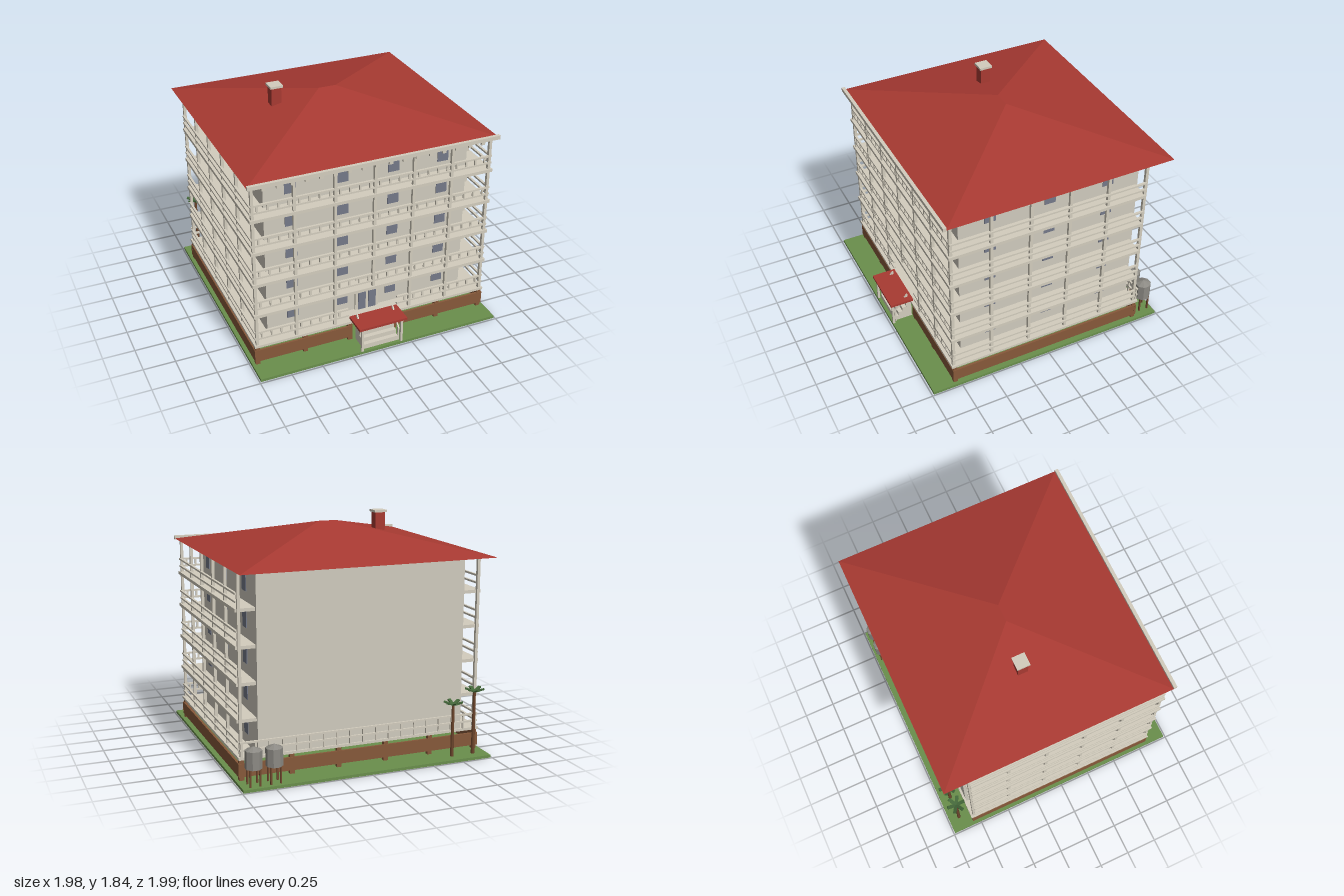
import * as THREE from 'three';

const mat = (name, color) => {
  const m = new THREE.MeshStandardMaterial({ color });
  m.name = name;
  return m;
};

export function createModel() {
  const wall = mat('wall cream', 0xd0cbbe);
  const trim = mat('trim cream', 0xd3cdbe);
  const red = mat('roof red', 0xa83a32);
  const green = mat('grass green', 0x6a8f4c);
  const brown = mat('skirt brown', 0x87593a);
  const glass = mat('window blue grey', 0x747989);
  const metal = mat('tank grey', 0x8c8a84);
  const bark = mat('trunk brown', 0x70482e);
  const leaf = mat('palm green', 0x44683a);

  const root = new THREE.Group();
  const group = (name, parent = root) => {
    const g = new THREE.Group();
    g.name = name;
    parent.add(g);
    return g;
  };
  const add = (parent, name, geo, m, x = 0, y = 0, z = 0) => {
    const mesh = new THREE.Mesh(geo, m);
    mesh.name = name;
    mesh.position.set(x, y, z);
    parent.add(mesh);
    return mesh;
  };
  // Box given by its extents on each axis
  const block = (parent, name, m, [x0, x1], [y0, y1], [z0, z1]) =>
    add(parent, name, new THREE.BoxGeometry(x1 - x0, y1 - y0, z1 - z0), m,
      (x0 + x1) / 2, (y0 + y1) / 2, (z0 + z1) / 2);
  const around = (c, w) => [c - w / 2, c + w / 2];

  block(root, 'lawn', green, [-0.99, 0.99], [0, 0.022], [-0.99, 0.985]);

  // Raised base: short piers and skirt boards
  const base = group('base');
  for (const s of [-1, 1]) {
    block(base, 'frontSkirt', brown, s < 0 ? [-0.97, -0.175] : [0.175, 0.97], [0.05, 0.15], [0.795, 0.812]);
    block(base, 'sideSkirt', brown, around(s * 0.96, 0.018), [0.05, 0.15], [-0.81, 0.81]);
    for (const x of [0.19, 0.56, 0.945])
      for (const z of [-0.79, 0.79])
        block(base, 'pier', brown, around(s * x, 0.036), [0.02, 0.18], around(z, 0.034));
  }
  block(base, 'backSkirt', brown, [-0.97, 0.97], [0.05, 0.15], [-0.812, -0.795]);
  block(base, 'groundSlab', trim, [-0.97, 0.97], [0.18, 0.2], [-0.82, 0.82]);

  // Main body
  block(root, 'body', wall, [-0.82, 0.82], [0.2, 1.553], [-0.805, 0.68]);

  // Floors with balconies and windows
  const STEP = 0.269, frontX = 0.945, postZ = 0.797;
  const balconies = group('balconies');
  const windows = group('windows');
  for (let f = 0; f < 5; f++) {
    const y = 0.192 + f * STEP;
    if (f) block(balconies, 'floorSlab', trim, [-0.97, 0.97], around(y, 0.025), [-0.785, 0.82]);
    for (const s of [-1, 1]) {
      for (const h of [0.06, 0.117]) {
        block(balconies, 'sideRail', trim, around(s * 0.957, 0.018), around(y + h, 0.014), [-0.785, 0.805]);
        const inner = f ? 0 : 0.205;
        block(balconies, 'frontRail', trim, s < 0 ? [-0.96, -inner] : [inner, 0.96], around(y + h, 0.014), around(0.8, 0.018));
      }
      // Balusters between the two front rails
      for (let i = 0; i < 12; i++) {
        const x = 0.04 + i * 0.07875;
        if (f || x > 0.2)
          block(balconies, 'baluster', trim, around(s * x, 0.014), [y + 0.06, y + 0.117], around(0.8, 0.012));
      }
      for (const x of [0.205, 0.614])
        block(windows, 'frontWindow', glass, around(s * x, 0.09), [y + 0.09, y + 0.262], [0.679, 0.686]);
      for (const z of [0.43, -0.053, -0.54])
        block(windows, 'sideWindow', glass, around(s * 0.8225, 0.007), [y + 0.09, y + 0.262], around(z, 0.09));
    }
  }

  // Full height posts
  const posts = group('posts');
  for (let i = -3; i <= 3; i++)
    block(posts, 'frontPost', trim, around(i * frontX / 3, 0.022), [i ? 0.2 : 0.46, 1.555], around(postZ, 0.024));
  for (const s of [-1, 1])
    for (let i = 1; i <= 5; i++)
      block(posts, 'sidePost', trim, around(s * frontX, 0.022), [0.2, 1.555], around(postZ - i * 0.317, 0.024));

  // Ground floor railing along the back
  const backRailing = group('backRailing');
  for (const y of [0.252, 0.309])
    block(backRailing, 'backRail', trim, [-0.96, 0.96], around(y, 0.014), [-0.822, -0.806]);
  for (let i = 0; i <= 18; i++)
    block(backRailing, 'backBaluster', trim, around(-0.945 + i * 0.105, 0.014), [0.2, 0.309], [-0.82, -0.807]);

  // Hipped roof: a flat box whose top is drawn in to a short ridge
  const roofGeo = new THREE.BoxGeometry(1.98, 0.212, 1.826).toNonIndexed();
  const p = roofGeo.attributes.position;
  for (let i = 0; i < p.count; i++)
    if (p.getY(i) > 0) p.setXYZ(i, Math.sign(p.getX(i)) * 0.07, p.getY(i), Math.sign(p.getZ(i)) * 0.001);
  roofGeo.computeVertexNormals();
  add(root, 'roof', roofGeo, red, 0, 1.659, -0.077);

  // Front fascia with hanging teeth
  const fascia = group('fascia');
  block(fascia, 'fasciaBoard', trim, [-0.99, 0.99], [1.545, 1.575], [0.835, 0.862]);
  for (let i = -8; i <= 8; i++)
    block(fascia, 'fasciaTooth', trim, around(i * 0.108, 0.03), [1.508, 1.552], around(0.826, 0.016));

  // Chimney
  const chimney = group('chimney');
  block(chimney, 'stack', red, around(-0.414, 0.08), [1.6, 1.822], around(-0.123, 0.08));
  block(chimney, 'cap', trim, around(-0.414, 0.102), [1.82, 1.838], around(-0.123, 0.102));

  // Entrance: door, steps, canopy and handrails
  const entrance = group('entrance');
  block(entrance, 'doorFrame', trim, around(0, 0.196), [0.2, 0.485], [0.68, 0.695]);
  for (const s of [-1, 1]) {
    block(entrance, 'doorLeaf', glass, around(s * 0.043, 0.064), [0.2, 0.45], [0.694, 0.7]);
    block(entrance, 'canopyPost', trim, around(s * 0.165, 0.018), [0.02, 0.23], around(0.975, 0.018));
    block(entrance, 'handrailPost', trim, around(s * 0.15, 0.012), [0.18, 0.268], around(0.845, 0.012));
    block(entrance, 'handrailPost', trim, around(s * 0.15, 0.012), [0.02, 0.135], around(0.952, 0.012));
    const rail = add(entrance, 'handrail', new THREE.BoxGeometry(0.012, 0.012, 0.177), trim, s * 0.15, 0.2, 0.898);
    rail.rotation.x = Math.atan2(0.135, 0.112);
  }
  for (let i = 0; i < 4; i++)
    block(entrance, 'step', trim, [-0.147, 0.147], [0.02, 0.062 + i * 0.036], [0.81, 0.958 - i * 0.035]);
  block(entrance, 'canopy', red, [-0.2, 0.2], [0.226, 0.245], [0.81, 1]);

  // Water tanks on legs
  for (const x of [0.735, 0.89]) {
    const tank = group('waterTank');
    tank.position.set(x, 0, -0.915);
    const shell = new THREE.CylinderGeometry(0.064, 0.064, 0.135, 8).toNonIndexed();
    const lid = new THREE.ConeGeometry(0.064, 0.028, 8).toNonIndexed();
    for (const g of [shell, lid]) { g.rotateY(Math.PI / 8); g.computeVertexNormals(); }
    add(tank, 'tankShell', shell, metal, 0, 0.217, 0);
    add(tank, 'tankLid', lid, metal, 0, 0.2985, 0);
    for (const sx of [-1, 1])
      for (const sz of [-1, 1])
        block(tank, 'tankLeg', bark, around(sx * 0.037, 0.012), [0.02, 0.152], around(sz * 0.037, 0.012));
  }

  // Palm trees with upturned fronds
  for (const [x, h] of [[-0.88, 0.52], [-0.7, 0.435]]) {
    const palm = group('palmTree');
    palm.position.set(x, 0, -0.905);
    add(palm, 'trunk', new THREE.CylinderGeometry(0.01, 0.014, h - 0.02, 6), bark, 0, h / 2 + 0.01, 0);
    for (let i = 0; i < 6; i++) {
      const frond = new THREE.BoxGeometry(0.075, 0.01, 0.026);
      frond.translate(0.038, 0, 0).rotateZ(0.32);
      add(palm, 'frond', frond, leaf, 0, h - 0.004, 0).rotation.y = i * Math.PI / 3 + 0.5;
    }
  }
  return root;
}
